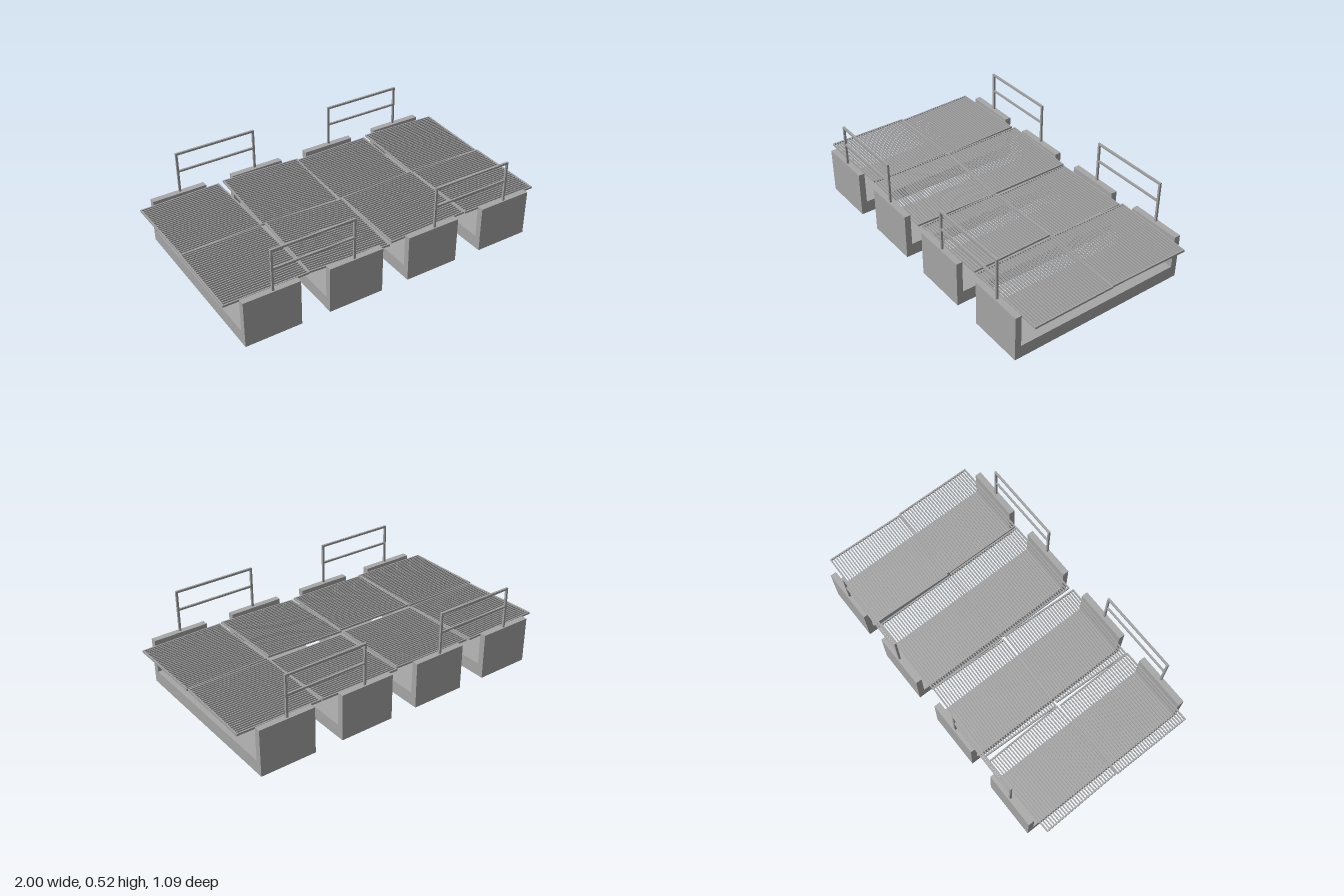
import * as THREE from 'three';

export function createModel() {
  const model = new THREE.Group();
  const concrete = new THREE.MeshStandardMaterial({ color: 0xa6a6a6 });
  concrete.name = 'concrete grey';
  const steel = new THREE.MeshStandardMaterial({ color: 0xa2a2a2 });
  steel.name = 'steel grey';

  const box = (parent, name, mat, w, h, d, x, y, z) => {
    const mesh = new THREE.Mesh(new THREE.BoxGeometry(w, h, d), mat);
    mesh.name = name;
    mesh.position.set(x, y, z);
    parent.add(mesh);
    return mesh;
  };

  // U-shaped channels: a floor slab with a wall at each end
  const profile = new THREE.Shape([
    [-0.545, 0], [0.545, 0], [0.545, 0.275], [0.508, 0.275],
    [0.508, 0.077], [-0.508, 0.077], [-0.508, 0.275], [-0.545, 0.275],
  ].map(([x, y]) => new THREE.Vector2(x, y)));
  const channelGeo = new THREE.ExtrudeGeometry(profile, { depth: 0.328, bevelEnabled: false });
  channelGeo.translate(0, 0, -0.164).rotateY(Math.PI / 2);
  for (const x of [-0.75, -0.253, 0.242, 0.739]) {
    const channel = new THREE.Mesh(channelGeo, concrete);
    channel.name = 'concreteChannel';
    channel.position.x = x;
    model.add(channel);
  }

  // Slatted grate: a thin rim filled with upright bars running along x
  const size = 0.49, rim = 0.008, height = 0.012, bars = 28;
  function makeGrate() {
    const grate = new THREE.Group();
    grate.name = 'grate';
    for (const s of [-1, 1]) {
      box(grate, 'grateSideRim', steel, rim, height, size, s * (size - rim) / 2, 0, 0);
      box(grate, 'grateEndRim', steel, size - 2 * rim, height, rim, 0, 0, s * (size - rim) / 2);
    }
    const slats = new THREE.InstancedMesh(
      new THREE.BoxGeometry(size - 2 * rim, height, 0.006), steel, bars);
    // Plain meshes share one geometry for all slats
    for (let i = 0; i < bars; i++) {
      const slat = new THREE.Mesh(slats.geometry, steel);
      slat.name = 'grateSlat';
      slat.position.z = ((i + 1) / (bars + 1) - 0.5) * (size - rim);
      grate.add(slat);
    }
    return grate;
  }

  // Loosely laid grates: x, y, z, pitch, yaw, roll
  const layout = [
    [-0.75, 0.256, -0.25, 0.012, 0.025, 0],
    [-0.247, 0.257, -0.252, 0.03, -0.03, -0.01],
    [0.246, 0.246, -0.247, 0.03, 0, 0.012],
    [0.744, 0.257, -0.25, 0.012, -0.025, -0.015],
    [-0.75, 0.257, 0.247, 0, 0, 0],
    [-0.253, 0.256, 0.25, 0.025, -0.04, -0.02],
    [0.246, 0.257, 0.247, 0.02, 0, 0.025],
    [0.744, 0.253, 0.247, 0.01, 0, -0.01],
  ];
  for (const [x, y, z, pitch, yaw, roll] of layout) {
    const grate = makeGrate();
    grate.position.set(x, y, z);
    grate.rotation.set(pitch, yaw, roll);
    model.add(grate);
  }

  // Guard rails on both end walls, each spanning two channels
  for (const z of [-0.531, 0.531]) {
    for (const x of [-0.5, 0.494]) {
      const rail = new THREE.Group();
      rail.name = 'guardRail';
      rail.position.set(x, 0, z);
      for (const s of [-1, 1]) {
        box(rail, 'railPost', steel, 0.012, 0.247, 0.012, s * 0.24, 0.3985, 0);
      }
      box(rail, 'topRail', steel, 0.468, 0.012, 0.012, 0, 0.516, 0);
      box(rail, 'middleRail', steel, 0.468, 0.011, 0.011, 0, 0.405, 0);
      model.add(rail);
    }
  }
  return model;
}
